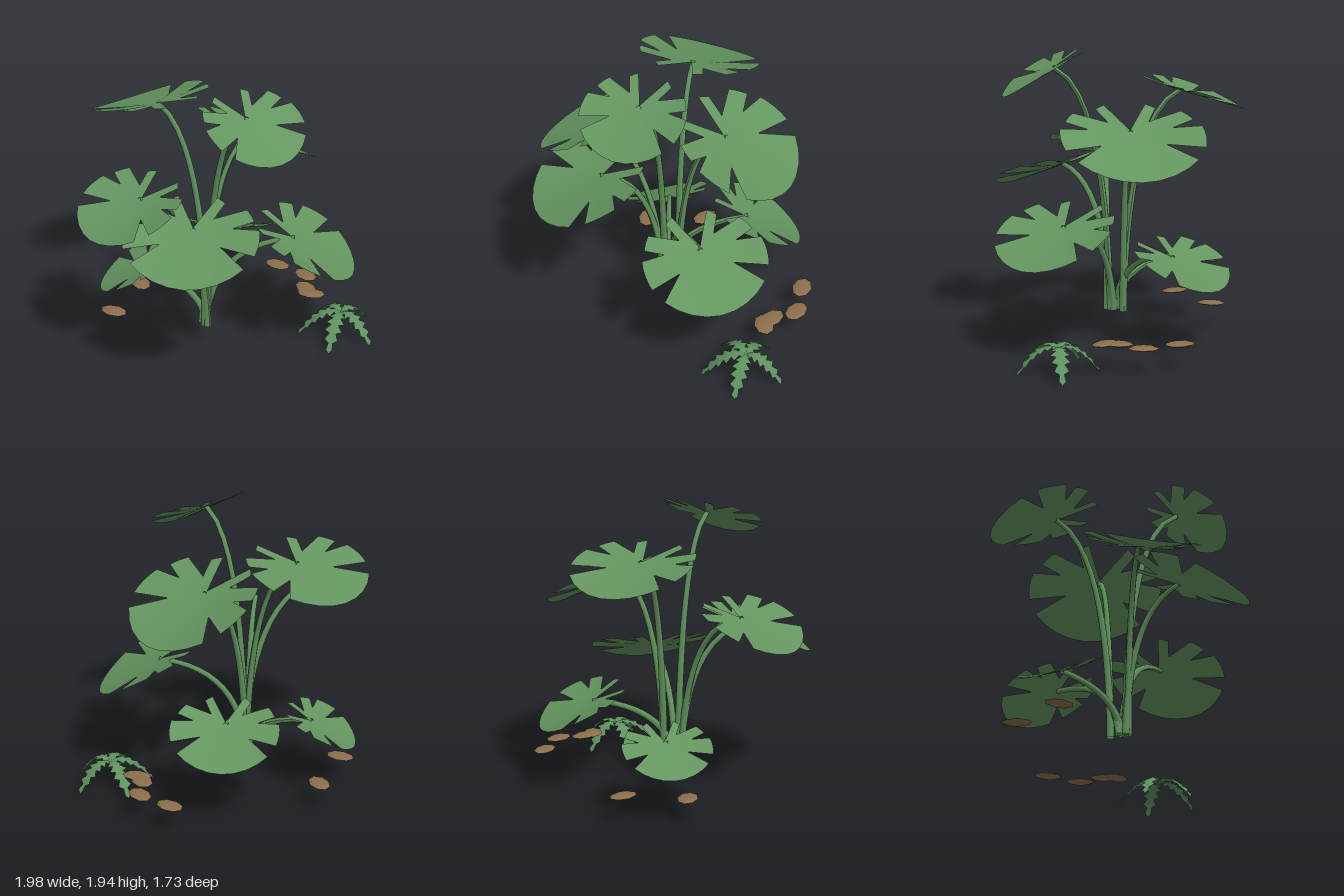
import * as THREE from 'three';

const D = Math.PI / 180;
const mat = (name, color, opts = {}) => {
  const m = new THREE.MeshStandardMaterial({ color, ...opts });
  m.name = name;
  return m;
};

// Lobes on one side of a leaf: start angle, end angle, start radius, end radius, depth of the notch after it
const LOBES = [[0, 48, 1.13, 1.12, 0.55], [62, 89, 1.1, 1, 0.6], [100, 118, 0.92, 0.87, 0.38], [142, 156, 0.7, 0.73, 0.06]];

// Outline as [angle from the outer tip, radius], mirrored to the other side
function leafOutline() {
  const half = [];
  LOBES.forEach(([a0, a1, r0, r1, notch], k) => {
    for (let i = 0; i <= 4; i++) half.push([a0 + (a1 - a0) * i / 4, r0 + (r1 - r0) * i / 4]);
    const next = k < 3 ? LOBES[k + 1][0] : 204;
    half.push([(a1 + next) / 2, notch]);
  });
  return [...half, ...half.slice(1, -1).reverse().map(([a, r]) => [360 - a, r])];
}

// Notched round blade, outer tip along +x, its sides curled slightly upward
function bladeGeometry(R) {
  const outline = leafOutline();
  const n = outline.length, rings = 4;
  const pos = [0, 0, 0], idx = [];
  for (let k = 1; k <= rings; k++) {
    for (const [a, r] of outline) {
      const s = r * k / rings, v = s * Math.sin(a * D);
      pos.push(R * s * Math.cos(a * D), R * 0.11 * v * v, R * v);
    }
  }
  for (let i = 0; i < n; i++) {
    const j = (i + 1) % n;
    idx.push(0, 1 + j, 1 + i);
    for (let k = 0; k < rings - 1; k++) {
      const a = 1 + k * n + i, b = 1 + k * n + j;
      idx.push(a, b, b + n, a, b + n, a + n);
    }
  }
  return surface(pos, idx);
}

function surface(pos, idx) {
  const g = new THREE.BufferGeometry();
  g.setAttribute('position', new THREE.Float32BufferAttribute(pos, 3));
  g.setIndex(idx);
  g.computeVertexNormals();
  return g;
}

// Stem that rises steeply, then arches out to the tip, thinner toward the end
function stemGeometry(base, tip) {
  const at = (out, up) => new THREE.Vector3(
    base.x + (tip.x - base.x) * out, base.y + (tip.y - base.y) * up, base.z + (tip.z - base.z) * out);
  const curve = new THREE.CubicBezierCurve3(base, at(0.05, 0.6), at(0.38, 0.94), tip);
  const seg = 14, sides = 7;
  const g = new THREE.TubeGeometry(curve, seg, 0.026, sides);
  const p = g.attributes.position, v = new THREE.Vector3();
  for (let i = 0; i < p.count; i++) {
    const t = Math.floor(i / (sides + 1)) / seg;
    const c = curve.getPointAt(t);
    v.fromBufferAttribute(p, i).sub(c).multiplyScalar(1 - 0.35 * t).add(c);
    p.setXYZ(i, v.x, v.y, v.z);
  }
  g.computeVertexNormals();
  return g;
}

// Arching frond with saw-toothed edges, running along +x
function frondGeometry(length) {
  const spine = new THREE.CubicBezierCurve3(
    new THREE.Vector3(0, 0.175, 0), new THREE.Vector3(length * 0.35, 0.235, 0),
    new THREE.Vector3(length * 0.7, 0.14, 0), new THREE.Vector3(length, 0.01, 0));
  const steps = 12, pos = [], idx = [];
  for (let i = 0; i <= steps; i++) {
    const t = i / steps, p = spine.getPoint(t);
    const full = 0.064 * Math.sin(Math.PI * (0.12 + 0.88 * t)) ** 0.7;
    const w = i === steps ? 0 : i % 2 ? full : full * 0.42;
    const x = p.x + (i % 2) * 0.012, y = p.y - w * 0.25;
    pos.push(x, y, -w, p.x, p.y, 0, x, y, w);
    if (i) {
      for (const k of [0, 1]) {
        const a = (i - 1) * 3 + k, b = a + 3;
        idx.push(a, a + 1, b + 1, a, b + 1, b);
      }
    }
  }
  return surface(pos, idx);
}

// Leaves: name, blade radius, heading from +x toward -z, downward tilt, stem base x z, stem tip x y z
const LEAVES = [
  ['frontTop', 0.34, -90, 29, -0.09, 0.06, -0.07, 1.84, 0.44],
  ['backTop', 0.405, 90, 17, -0.03, -0.02, -0.12, 1.67, -0.42],
  ['leftUpper', 0.46, 0, 27.5, -0.03, -0.02, 0.32, 1.455, -0.015],
  ['rightUpper', 0.37, 180, 22.5, -0.1, 0.08, -0.6, 1.28, 0.02],
  ['frontRight', 0.425, -135, 21, -0.11, 0.06, -0.42, 1.135, 0.34],
  ['frontLeft', 0.405, -45, 27, -0.08, 0.04, 0.36, 0.855, 0.43],
  ['backLeft', 0.35, 45, 25, -0.1, 0.02, 0.37, 0.635, -0.285],
  ['backRight', 0.29, 135, 26, -0.08, 0.04, -0.29, 0.495, -0.4],
];

// Stones: x, z, turn in degrees
const STONES = [[0.81, -0.25, 10], [0.87, -0.01, -8], [0.75, 0.13, -15], [0.73, 0.21, 35], [-0.5, -0.46, 20], [-0.13, -0.65, -20]];

export function createModel() {
  const model = new THREE.Group();
  model.name = 'foliage';
  const leafMat = mat('leafGreen', 0x649560, { side: THREE.DoubleSide });
  const stemMat = mat('stemGreen', 0x5f905b, { side: THREE.DoubleSide });
  const fernMat = mat('fernGreen', 0x5f9260, { side: THREE.DoubleSide });
  const stoneMat = mat('stoneBrown', 0x8c6f4c, { flatShading: true });
  const add = (parent, name, geo, material) => {
    const m = new THREE.Mesh(geo, material);
    m.name = name;
    parent.add(m);
    return m;
  };

  // Leaves on arching stems
  for (const [name, R, heading, tilt, bx, bz, tx, ty, tz] of LEAVES) {
    const leaf = new THREE.Group();
    leaf.name = name + 'Leaf';
    const tip = new THREE.Vector3(tx, ty, tz);
    add(leaf, name + 'Stem', stemGeometry(new THREE.Vector3(bx, 0.18, bz), tip), stemMat);
    const blade = add(leaf, name + 'Blade', bladeGeometry(R), leafMat);
    blade.position.copy(tip);
    blade.rotation.set(0, heading * D, -tilt * D, 'YXZ');
    model.add(leaf);
  }

  // Small fern beside the plant
  const fern = new THREE.Group();
  fern.name = 'fern';
  for (const [angle, length] of [[0, 0.255], [82, 0.265], [-82, 0.265], [148, 0.3], [-148, 0.3]]) {
    add(fern, 'frond', frondGeometry(length), fernMat).rotation.y = angle * D;
  }
  fern.position.set(0.74, 0, 0.51);
  model.add(fern);

  // Flat stones on the ground
  for (const [x, z, turn] of STONES) {
    const stone = add(model, 'stone', new THREE.SphereGeometry(1, 8, 4), stoneMat);
    stone.scale.set(0.067, 0.014, 0.1);
    stone.position.set(x, 0.187, z);
    stone.rotation.y = turn * D;
  }
  return model;
}
